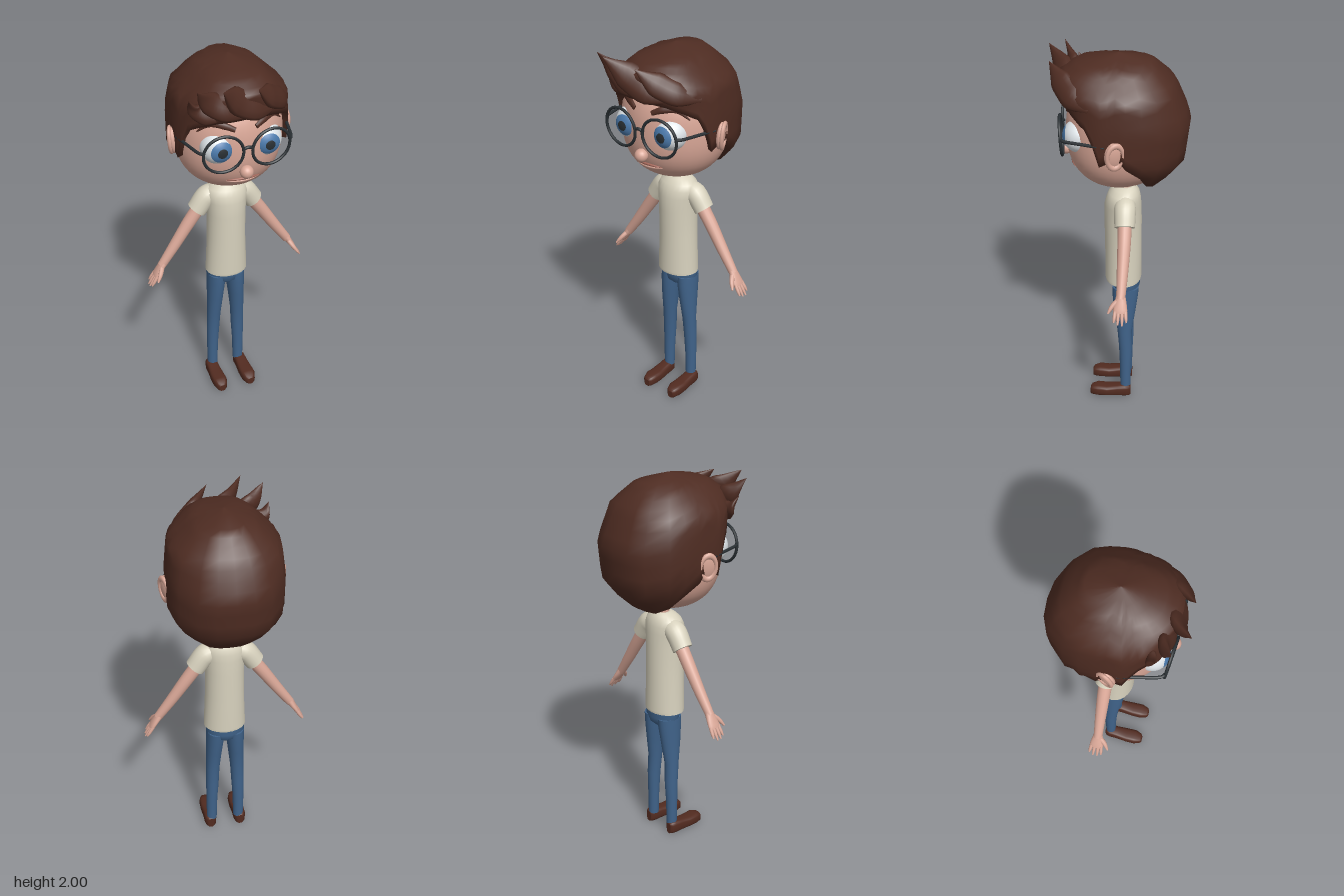
import * as THREE from 'three';

const mat = (name, color) => Object.assign(new THREE.MeshStandardMaterial({ color }), { name });
const V = (x, y, z) => new THREE.Vector3(x, y, z);

// Linear lookup in a table of [key, value] pairs with rising keys
function lookup(table, k) {
  if (k <= table[0][0]) return table[0][1];
  for (let i = 1; i < table.length; i++) {
    const [k0, v0] = table[i - 1], [k1, v1] = table[i];
    if (k <= k1) return v0 + (v1 - v0) * (k - k0) / (k1 - k0);
  }
  return table[table.length - 1][1];
}

// Closed smooth skin over rings of points, with capped ends
function loft(rings) {
  const n = rings[0].length;
  const centre = (r) => {
    const c = r.reduce((s, p) => s.add(p), V(0, 0, 0)).divideScalar(n);
    return r.map(() => c);
  };
  const last = rings[rings.length - 1];
  const all = [centre(rings[0]), rings[0], ...rings, last, centre(last)];
  const index = [];
  for (let i = 0; i < all.length - 1; i++) {
    for (let j = 0; j < n; j++) {
      const a = i * n + j, b = i * n + (j + 1) % n;
      index.push(a, a + n, b, b, a + n, b + n);
    }
  }
  const g = new THREE.BufferGeometry().setFromPoints(all.flat());
  g.setIndex(index);
  g.computeVertexNormals();
  return g;
}

// Horizontal ellipse rings, bottom to top: [y, rx, rz, cx, cz]
function column(sections, n = 24) {
  return loft(sections.map(([y, rx, rz, cx, cz]) => Array.from({ length: n }, (_, j) => {
    const a = j / n * Math.PI * 2;
    return V(cx + rx * Math.cos(a), y, cz + rz * Math.sin(a));
  })));
}

// Tapered tube along a curve; thickness is measured away from a centre point
function sweep(points, radii, flat = 1, from = V(0, 1, -5), steps = 16, n = 12) {
  const curve = new THREE.CatmullRomCurve3(points);
  const table = radii.map((r, i) => [i / (radii.length - 1), r]);
  const rings = [];
  for (let i = 0; i <= steps; i++) {
    const p = curve.getPoint(i / steps), t = curve.getTangent(i / steps);
    const side = t.clone().cross(p.clone().sub(from)).normalize();
    const out = side.clone().cross(t);
    const r = lookup(table, i / steps);
    rings.push(Array.from({ length: n }, (_, j) => {
      const a = j / n * Math.PI * 2;
      return p.clone().addScaledVector(side, r * Math.cos(a)).addScaledVector(out, r * flat * Math.sin(a));
    }));
  }
  return loft(rings);
}

// Head shape: girth factor by height, and the depth of the face surface
const HEAD_Y = 1.6, HEAD_H = 0.283;
const girth = (y) => Math.pow(Math.max(0, 1 - Math.pow(Math.abs((y - HEAD_Y) / HEAD_H), 2.45)), 1 / 2.45);
const onFace = (x, y, lift = 0) => {
  const f = girth(y);
  return V(x, y, 0.26 * f * Math.sqrt(Math.max(0, 1 - (x / (0.27 * f)) ** 2)) + lift);
};

function headGeometry() {
  const rings = [];
  for (let i = 0; i <= 28; i++) {
    const y = HEAD_Y - HEAD_H * Math.cos(Math.PI * i / 28), f = girth(y);
    rings.push(Array.from({ length: 40 }, (_, j) => {
      const a = j / 40 * Math.PI * 2, s = Math.sin(a);
      return V(0.27 * f * Math.cos(a), y, (s > 0 ? 0.26 : 0.28) * f * s);
    }));
  }
  return loft(rings);
}

// Hair cap: radius profiles by height, and lower edge by angle from the front
const BACK = [[1.33, 0.195], [1.455, 0.33], [1.68, 0.355], [1.86, 0.275], [1.97, 0.16], [1.995, 0]];
const SIDE = [[1.33, 0.17], [1.44, 0.255], [1.5, 0.288], [1.68, 0.288], [1.83, 0.272], [1.95, 0.143], [1.995, 0]];
const FRONT = [[1.74, 0.255], [1.8, 0.272], [1.9, 0.29], [1.95, 0.21], [1.975, 0.11], [1.995, 0]];
const EDGE = [[0, 1.77], [30, 1.76], [48, 1.73], [60, 1.7], [68, 1.63], [75, 1.52], [82, 1.54], [90, 1.58],
  [100, 1.51], [115, 1.45], [130, 1.37], [150, 1.33], [180, 1.335]];

function hairGeometry() {
  const half = [15, 30, 40, 48, 54, 60, 68, 75, 82, 90, 100, 115, 130, 150, 165];
  const angles = [0, ...half, 180, ...half.map((a) => 360 - a).reverse()];
  const point = (deg, t, shrink = 1, lift = 0) => {
    const y = 1.995 - (1.995 - lookup(EDGE, deg > 180 ? 360 - deg : deg)) * Math.pow(t, 1.6);
    const a = deg * Math.PI / 180, c = Math.cos(a), s = Math.sin(a), p = 2.5;
    const depth = lookup(c > 0 ? FRONT : BACK, y), width = lookup(SIDE, y);
    const r = depth < 1e-6 ? 0 : shrink * Math.pow(
      Math.pow(Math.abs(c) / depth, p) + Math.pow(Math.abs(s) / width, p), -1 / p);
    return V(r * s, y + lift, r * c);
  };
  const rings = [];
  for (let i = 0; i <= 14; i++) rings.push(angles.map((d) => point(d, i / 14)));
  rings.push(angles.map((d) => point(d, 1, 0.8, 0.01)));
  return loft(rings);
}

// Shoe from toe to heel: [z, half width, height]
function shoeGeometry(cx) {
  const soft = (v) => Math.sign(v) * Math.pow(Math.abs(v), 0.6);
  return loft([[0.152, 0.016, 0.04], [0.143, 0.028, 0.052], [0.11, 0.039, 0.062], [0.06, 0.039, 0.058], [0, 0.034, 0.066],
    [-0.04, 0.034, 0.071], [-0.062, 0.028, 0.068], [-0.071, 0.016, 0.06]].map(([z, w, h]) =>
    Array.from({ length: 20 }, (_, j) => {
      const a = j / 20 * Math.PI * 2;
      return V(cx + w * soft(Math.cos(a)), h / 2 * (1 + soft(Math.sin(a))), z);
    })));
}

export function createModel() {
  const skin = mat('skin', 0xd9a797), hair = mat('hair', 0x4e2c22), shirt = mat('shirt', 0xd8d2be);
  const denim = mat('denim', 0x40638a), leather = mat('shoeLeather', 0x522b20), white = mat('eyeWhite', 0xdfe5e9);
  const blue = mat('irisBlue', 0x4c7bad), dark = mat('darkFrame', 0x2a3034), lip = mat('lip', 0xa4675a);
  const model = new THREE.Group();
  model.name = 'boy';
  const add = (name, geometry, material, x = 0, y = 0, z = 0, parent = model) => {
    const m = new THREE.Mesh(geometry, material);
    m.name = name;
    m.position.set(x, y, z);
    parent.add(m);
    return m;
  };

  // Head, neck, nose and mouth
  add('head', headGeometry(), skin);
  add('neck', new THREE.CylinderGeometry(0.03, 0.032, 0.12, 20), skin, 0, 1.3, -0.035);
  add('nose', new THREE.SphereGeometry(0.034, 20, 14), skin, 0, 1.488, 0.263);
  const mouthLine = (y, bend, lift) => [-0.085, -0.045, 0, 0.045, 0.085].map((x) => onFace(x, y + bend * x * x, lift));
  add('upperLip', sweep(mouthLine(1.433, -0.6, 0.002), [0.002, 0.006, 0.007, 0.006, 0.002]), lip);
  add('teeth', sweep(mouthLine(1.426, 0, 0).slice(1, 4), [0.002, 0.005, 0.002]), white);
  add('lowerLip', sweep(mouthLine(1.416, 1, 0.001), [0.002, 0.006, 0.008, 0.006, 0.002]), skin);

  // Hair cap and swept locks
  add('hairCap', hairGeometry(), hair);
  const centre = V(0, 1.65, 0);
  [
    [[V(0.17, 1.81, 0.2), V(0.04, 1.83, 0.255), V(-0.07, 1.89, 0.28), V(-0.15, 1.975, 0.352)], [0.03, 0.07, 0.068, 0]],
    [[V(0.02, 1.8, 0.24), V(-0.1, 1.83, 0.245), V(-0.18, 1.88, 0.24), V(-0.25, 1.962, 0.285)], [0.03, 0.06, 0.055, 0]],
    [[V(-0.1, 1.79, 0.235), V(-0.18, 1.8, 0.21), V(-0.232, 1.83, 0.195), V(-0.268, 1.89, 0.22)], [0.02, 0.05, 0.04, 0]],
    [[V(0.25, 1.8, 0.12), V(0.18, 1.83, 0.21), V(0.1, 1.88, 0.27), V(0.025, 1.95, 0.332)], [0.02, 0.06, 0.06, 0]],
  ].forEach(([points, radii], i) => add('frontLock' + (i + 1), sweep(points, radii, 0.5, centre), hair));

  // Shirt and trouser seat
  add('shirtBody', column([[0.73, 0.112, 0.093, 0, -0.025], [0.745, 0.111, 0.096, 0, -0.025], [0.95, 0.102, 0.096, 0, -0.024],
    [1.1, 0.102, 0.097, 0, -0.022], [1.18, 0.108, 0.095, 0, -0.022], [1.22, 0.113, 0.088, 0, -0.025],
    [1.25, 0.1, 0.078, 0, -0.028], [1.272, 0.068, 0.06, 0, -0.032], [1.284, 0.04, 0.042, 0, -0.035]]), shirt);
  add('trouserSeat', column([[0.645, 0.04, 0.045, 0, -0.038], [0.665, 0.088, 0.066, 0, -0.038],
    [0.7, 0.104, 0.074, 0, -0.04], [0.76, 0.103, 0.076, 0, -0.037]]), denim);

  for (const s of [1, -1]) {
    const side = s > 0 ? 'left' : 'right';

    // Eye with iris and pupil caps
    const cap = (r, w) => new THREE.SphereGeometry(r, 28, 10, 0, Math.PI * 2, 0, Math.asin(w / r)).rotateX(Math.PI / 2);
    add(side + 'Eyeball', new THREE.SphereGeometry(0.085, 28, 20), white, s * 0.12, 1.61, 0.18);
    add(side + 'Iris', cap(0.0865, 0.054), blue, s * 0.12, 1.61, 0.18);
    add(side + 'Pupil', cap(0.088, 0.025), dark, s * 0.12, 1.61, 0.18);

    // Eyebrow
    add(side + 'Eyebrow', sweep([[0.052, 1.715], [0.1, 1.735], [0.16, 1.737], [0.212, 1.69]]
      .map(([x, y]) => onFace(s * x, y, 0.003)), [0.012, 0.017, 0.014, 0.003], 0.6, centre), hair);

    // Glasses rim and temple
    add(side + 'GlassesRim', new THREE.TorusGeometry(0.098, 0.0075, 8, 40), dark, s * 0.12, 1.61, 0.272)
      .rotation.set(0.06, s * 0.08, 0);
    add(side + 'GlassesTemple', sweep([V(s * 0.215, 1.627, 0.262), V(s * 0.23, 1.627, 0.25), V(s * 0.255, 1.625, 0.16),
      V(s * 0.28, 1.622, 0.05)], [0.008, 0.008], 1, V(0, 1, 0), 12, 8), dark);

    // Ear with raised rim
    const ear = new THREE.Group();
    ear.name = side + 'Ear';
    ear.position.set(s * 0.28, 1.582, 0.003);
    ear.rotation.set(0, s * 0.4, -s * 0.08);
    model.add(ear);
    add('earBody', new THREE.SphereGeometry(1, 20, 16), skin, 0, 0, 0, ear).scale.set(0.022, 0.072, 0.05);
    const rim = add('earRim', new THREE.TorusGeometry(0.04, 0.011, 8, 28).rotateY(Math.PI / 2), skin, s * 0.014, 0, 0, ear);
    rim.scale.set(1, 1.5, 1);

    // Sleeve and arm
    add(side + 'Sleeve', sweep([V(s * 0.045, 1.215, -0.035), V(s * 0.1, 1.195, -0.038), V(s * 0.156, 1.122, -0.04)],
      [0.05, 0.056, 0.052], 1, V(0, 1, -5), 14, 20), shirt);
    add(side + 'Arm', sweep([V(s * 0.13, 1.15, -0.04), V(s * 0.2, 1.05, -0.04), V(s * 0.28, 0.93, -0.037), V(s * 0.355, 0.822, -0.033)],
      [0.036, 0.034, 0.029, 0.023], 1, V(0, 1, -5), 16, 16), skin);

    // Hand with four fingers and thumb, hanging along the arm
    const hand = new THREE.Group();
    hand.name = side + 'Hand';
    hand.position.set(s * 0.35, 0.83, -0.033);
    hand.rotation.z = s * 0.58;
    model.add(hand);
    add('palm', column([[-0.082, 0.01, 0.032, 0, 0], [-0.065, 0.014, 0.036, 0, 0], [-0.03, 0.017, 0.031, 0, 0],
      [0.01, 0.021, 0.023, 0, 0]], 16), skin, 0, 0, 0, hand);
    [[-0.029, 0.128], [-0.01, 0.144], [0.01, 0.142], [0.028, 0.13]].forEach(([z, end], i) =>
      add('finger' + (i + 1), sweep([V(0, -0.07, z * 0.9), V(0, -0.1, z), V(0, -end, z * 1.12)],
        [0.0095, 0.0095, 0.0085, 0.004], 1, V(5, 0, 0), 8, 8), skin, 0, 0, 0, hand));
    add('thumb', sweep([V(0, -0.015, 0.012), V(0, -0.045, 0.04), V(0, -0.085, 0.062)],
      [0.014, 0.013, 0.011, 0.005], 1, V(5, 0, 0), 8, 8), skin, 0, 0, 0, hand);

    // Trouser leg and shoe
    add(side + 'Leg', column([[0.055, 0.028, 0.028, 0.076, -0.042], [0.2, 0.031, 0.031, 0.075, -0.042],
      [0.32, 0.035, 0.036, 0.071, -0.042], [0.43, 0.037, 0.039, 0.067, -0.036], [0.55, 0.043, 0.057, 0.06, -0.036],
      [0.65, 0.049, 0.068, 0.054, -0.038], [0.7, 0.05, 0.07, 0.052, -0.04]]
      .map(([y, rx, rz, cx, cz]) => [y, rx, rz, s * cx, cz])), denim);
    add(side + 'Shoe', shoeGeometry(s * 0.084), leather);
  }

  // Glasses bridge
  add('glassesBridge', sweep([V(-0.026, 1.622, 0.275), V(0, 1.632, 0.28), V(0.026, 1.622, 0.275)], [0.008, 0.008]), dark);
  return model;
}
